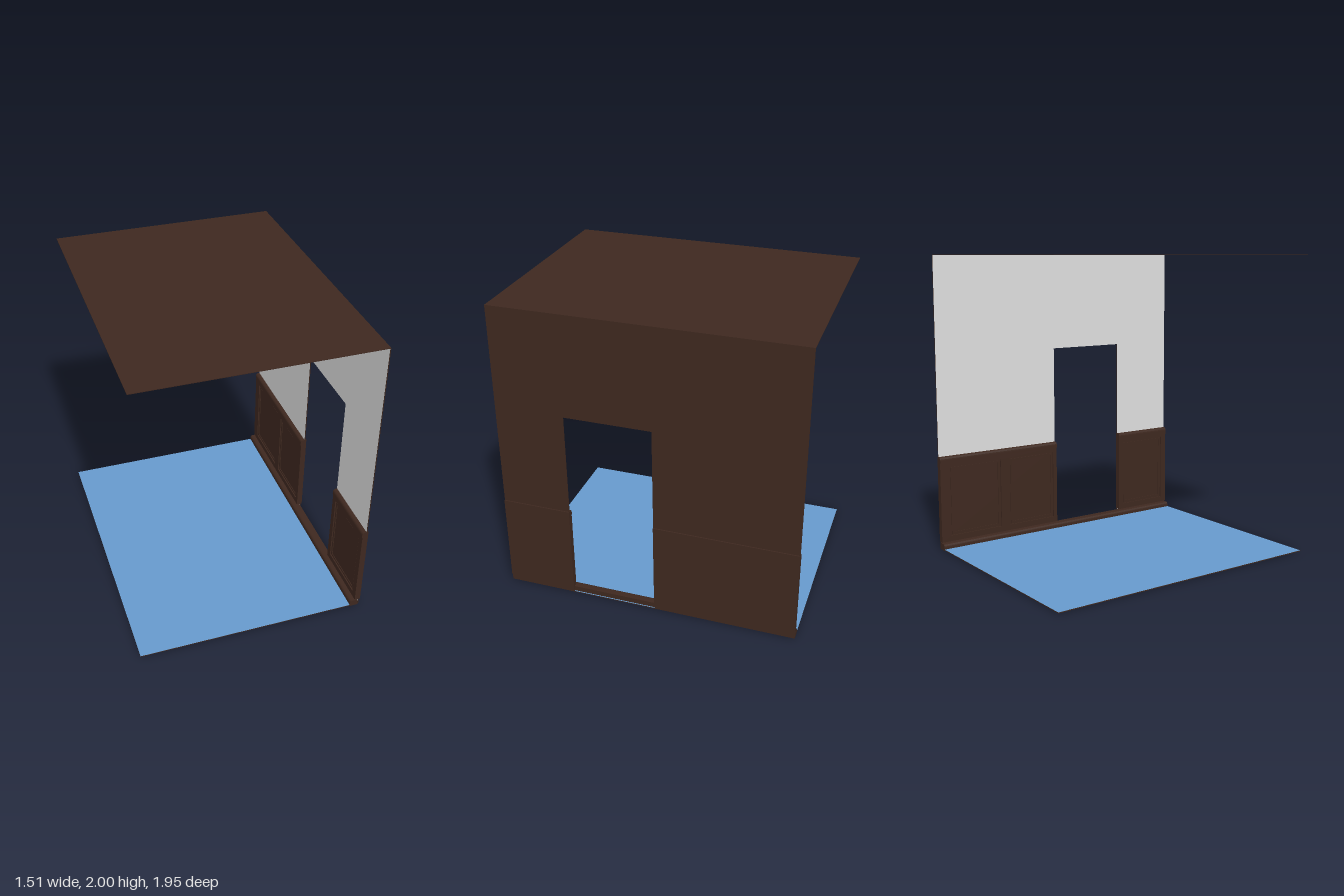
import * as THREE from 'three';

const BACK = -0.975, FRONT = 0.975, WALL_X = 0.745, TOP = 1.996;
const DOOR = { z0: -0.045, z1: 0.52, top: 1.33 };

function polygon(points) {
  return new THREE.Shape(points.map(([a, b]) => new THREE.Vector2(a, b)));
}

function rectangle(z0, z1, y0, y1) {
  return polygon([[z0, y0], [z1, y0], [z1, y1], [z0, y1]]);
}

export function createModel() {
  const group = new THREE.Group();
  const paint = (name, color) => {
    const m = new THREE.MeshStandardMaterial({ color });
    m.name = name;
    return m;
  };
  const wood = paint('dark brown wood', 0x3e281f);
  const blue = paint('blue floor', 0x6699cc);
  const green = paint('green ceiling', 0x02dc02);
  const grey = paint('grey wall', 0xdedede);

  const add = (name, geometry, material, parent = group) => {
    const mesh = new THREE.Mesh(geometry, material);
    mesh.name = name;
    parent.add(mesh);
    return mesh;
  };

  // Thin horizontal slab with its own top and underside colours
  const slab = (name, x0, x1, y0, y1, top, underside) => {
    const g = new THREE.BoxGeometry(x1 - x0, y1 - y0, FRONT - BACK);
    g.translate((x0 + x1) / 2, (y0 + y1) / 2, 0);
    add(name, g, [wood, wood, top, underside, wood, wood]);
  };
  slab('floor', -0.757, WALL_X, 0.004, 0.01, blue, wood);
  slab('ceiling', -0.747, WALL_X, TOP, 2, wood, green);

  // Board: a z/y shape given thickness from xOuter towards the room
  const board = (name, shape, xOuter, xInner, parent) => {
    const g = new THREE.ExtrudeGeometry(shape, { depth: xOuter - xInner, bevelEnabled: false });
    g.rotateY(-Math.PI / 2);
    g.translate(xOuter, 0, 0);
    add(name, g, wood, parent);
  };

  // Wall with doorway, painted grey on the room side
  const wallShape = polygon([
    [BACK, 0.01], [DOOR.z0, 0.01], [DOOR.z0, DOOR.top], [DOOR.z1, DOOR.top],
    [DOOR.z1, 0.01], [FRONT, 0.01], [FRONT, TOP], [BACK, TOP],
  ]);
  board('wall', wallShape, WALL_X, WALL_X - 0.004, group);
  const wallPaint = new THREE.ShapeGeometry(wallShape);
  wallPaint.rotateY(-Math.PI / 2);
  wallPaint.translate(WALL_X - 0.006, 0, 0);
  add('wallPaint', wallPaint, grey);

  // Moulding: a rounded x/y profile swept along z
  const moulding = (name, x0, x1, y0, y1, r, z0, z1, parent) => {
    const p = new THREE.Shape();
    p.moveTo(x0, y0);
    p.lineTo(x1, y0);
    p.lineTo(x1, y1);
    p.lineTo(x0 + r, y1);
    p.quadraticCurveTo(x0, y1, x0, y1 - r);
    p.closePath();
    const g = new THREE.ExtrudeGeometry(p, { depth: z1 - z0, bevelEnabled: false, curveSegments: 5 });
    g.translate(0, 0, z0);
    add(name, g, wood, parent);
  };
  moulding('baseboard', 0.682, 0.738, 0, 0.045, 0.022, BACK, FRONT, group);

  // Panelling on either side of the doorway
  const wainscot = (name, z0, z1, panels) => {
    const part = new THREE.Group();
    part.name = name;
    group.add(part);
    const y0 = 0.09, y1 = 0.575;
    board('backing', rectangle(z0, z1, 0.05, 0.61), 0.753, 0.724, part);
    const frame = rectangle(z0, z1, 0.05, 0.61);
    for (const [a, b] of panels) {
      frame.holes.push(rectangle(a, b, y0, y1));
      // Raised border inside each recess
      const border = rectangle(a + 0.008, b - 0.008, y0 + 0.008, y1 - 0.008);
      border.holes.push(rectangle(a + 0.022, b - 0.022, y0 + 0.022, y1 - 0.022));
      board('panelBorder', border, 0.724, 0.719, part);
    }
    board('frame', frame, 0.724, 0.715, part);
    moulding('capRail', 0.711, 0.753, 0.605, 0.645, 0.022, z0, z1, part);
  };
  wainscot('rearWainscot', BACK, DOOR.z0, [[-0.905, -0.51], [-0.44, -0.075]]);
  wainscot('frontWainscot', DOOR.z1, FRONT, [[0.56, 0.93]]);

  return group;
}
